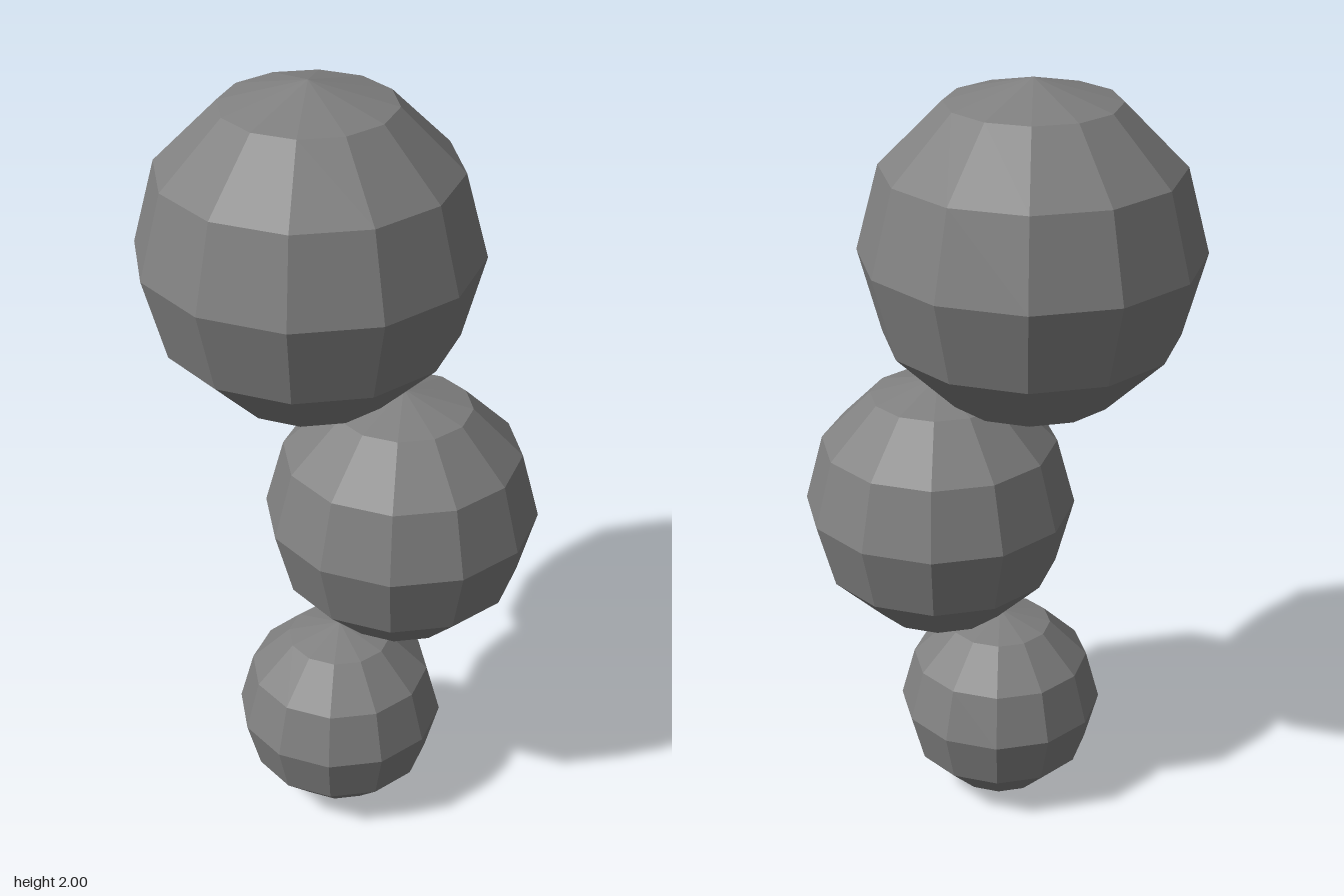
import * as THREE from 'three';

export function createModel() {
  const group = new THREE.Group();
  const grey = new THREE.MeshStandardMaterial({ color: 0x808080 });
  grey.name = 'grey';

  // Faceted ball: every face gets its own normals
  function ball(name, radius, x, y, z) {
    const geometry = new THREE.SphereGeometry(radius, 12, 6).toNonIndexed();
    geometry.computeVertexNormals();
    const mesh = new THREE.Mesh(geometry, grey);
    mesh.name = name;
    mesh.position.set(x, y, z);
    group.add(mesh);
  }

  // Staggered stack, smallest ball at the bottom
  ball('bottomBall', 0.268, 0, 0.27, 0.08);
  ball('middleBall', 0.345, 0.153, 0.888, 0.04);
  ball('topBall', 0.421, -0.079, 1.579, 0);

  grey.flatShading = true;
  return group;
}
